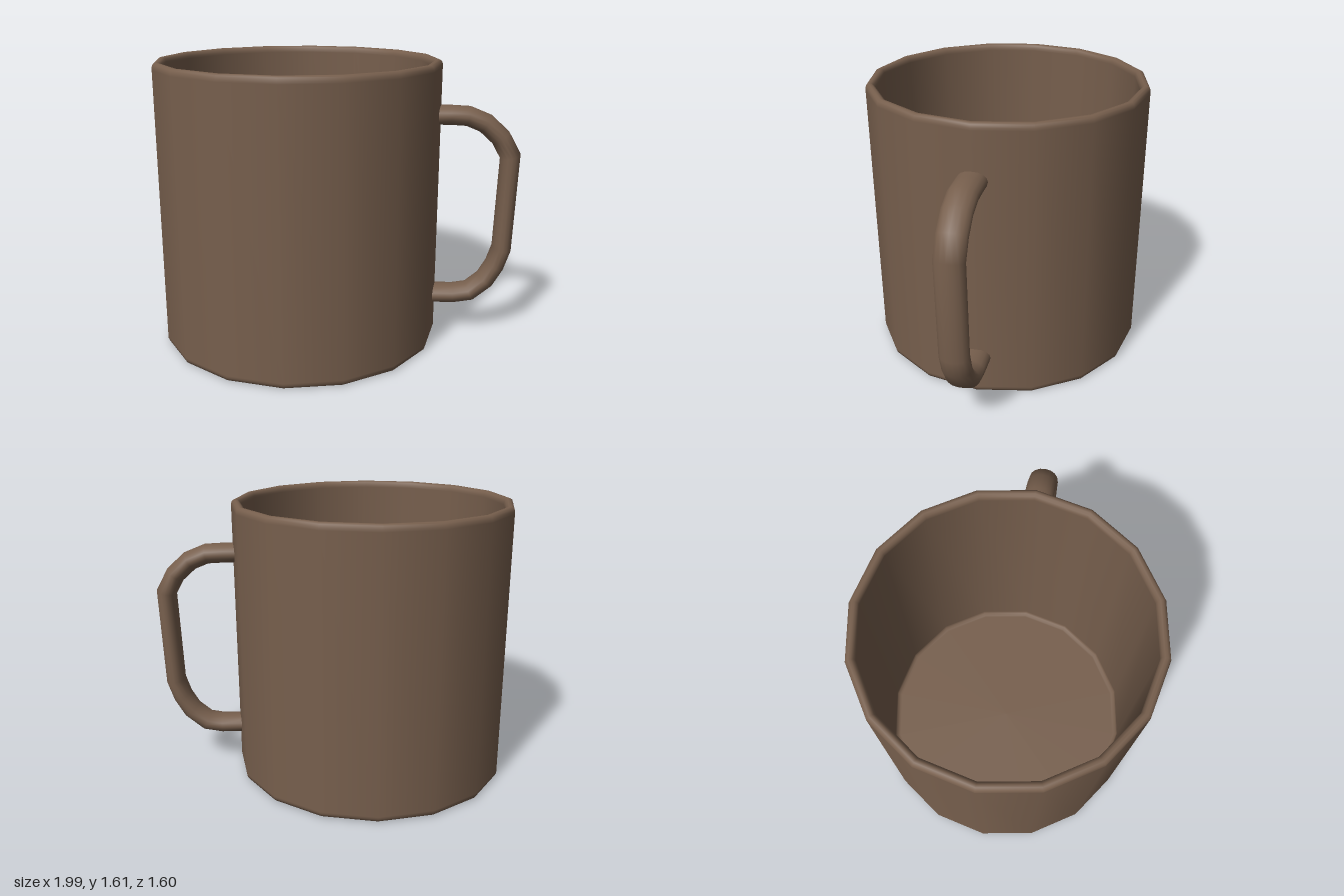
import * as THREE from 'three';

const material = new THREE.MeshStandardMaterial({ color: 0x775f4d });

// Sweeps an ellipse along a planar path (x outward, y up) with mitred joints
function sweepEllipse(path, thick, wide, sides) {
  const positions = [], indices = [];
  const pts = path.map(([x, y]) => new THREE.Vector2(x, y));
  pts.forEach((p, i) => {
    const before = p.clone().sub(pts[Math.max(i - 1, 0)]).normalize();
    const after = pts[Math.min(i + 1, pts.length - 1)].clone().sub(p).normalize();
    const tangent = before.clone().add(after).normalize();
    const mitre = thick / Math.max(tangent.dot(i ? before : after), 0.5);
    for (let j = 0; j < sides; j++) {
      const a = (j / sides) * Math.PI * 2;
      const n = Math.cos(a) * mitre;
      positions.push(p.x - tangent.y * n, p.y + tangent.x * n, Math.sin(a) * wide);
      if (i < pts.length - 1) {
        const k = (j + 1) % sides, r = i * sides, s = r + sides;
        indices.push(r + j, r + k, s + j, r + k, s + k, s + j);
      }
    }
  });
  const geometry = new THREE.BufferGeometry();
  geometry.setAttribute('position', new THREE.Float32BufferAttribute(positions, 3));
  geometry.setIndex(indices);
  geometry.computeVertexNormals();
  return geometry;
}

export function createModel() {
  const model = new THREE.Group();
  model.name = 'mug';

  // Sixteen-sided cup: underside, outer wall, rounded rim, inner wall, floor
  const profile = [
    [0, 0], [0.77, 0], [0.78, 0], [0.796, 0.007], [0.803, 0.024], [0.803, 0.035],
    [0.803, 1.575], [0.803, 1.588], [0.797, 1.604], [0.784, 1.612],
    [0.77, 1.612], [0.757, 1.604], [0.751, 1.588], [0.751, 1.575],
    [0.751, 0.08], [0.751, 0.07], [0.745, 0.056], [0.73, 0.05], [0.72, 0.05], [0, 0.05],
  ].map(([x, y]) => new THREE.Vector2(x, y));
  const cup = new THREE.Mesh(new THREE.LatheGeometry(profile, 16, 0.054), material);
  cup.name = 'cup';
  model.add(cup);

  // Handle, its ends buried in the wall at the middle of one facet
  const handlePath = [
    [0.765, 1.305], [0.86, 1.305], [0.956, 1.3], [1.054, 1.26], [1.142, 1.18], [1.2, 1.075],
    [1.181, 0.525], [1.147, 0.42], [1.094, 0.328], [1.004, 0.252], [0.907, 0.235], [0.765, 0.235],
  ];
  const handle = new THREE.Mesh(sweepEllipse(handlePath, 0.056, 0.082, 16), material);
  handle.name = 'handle';
  handle.rotation.y = 0.054 - Math.PI / 8;
  model.add(handle);

  model.position.x = -0.197;
  const root = new THREE.Group();
  root.add(model);
  return root;
}
